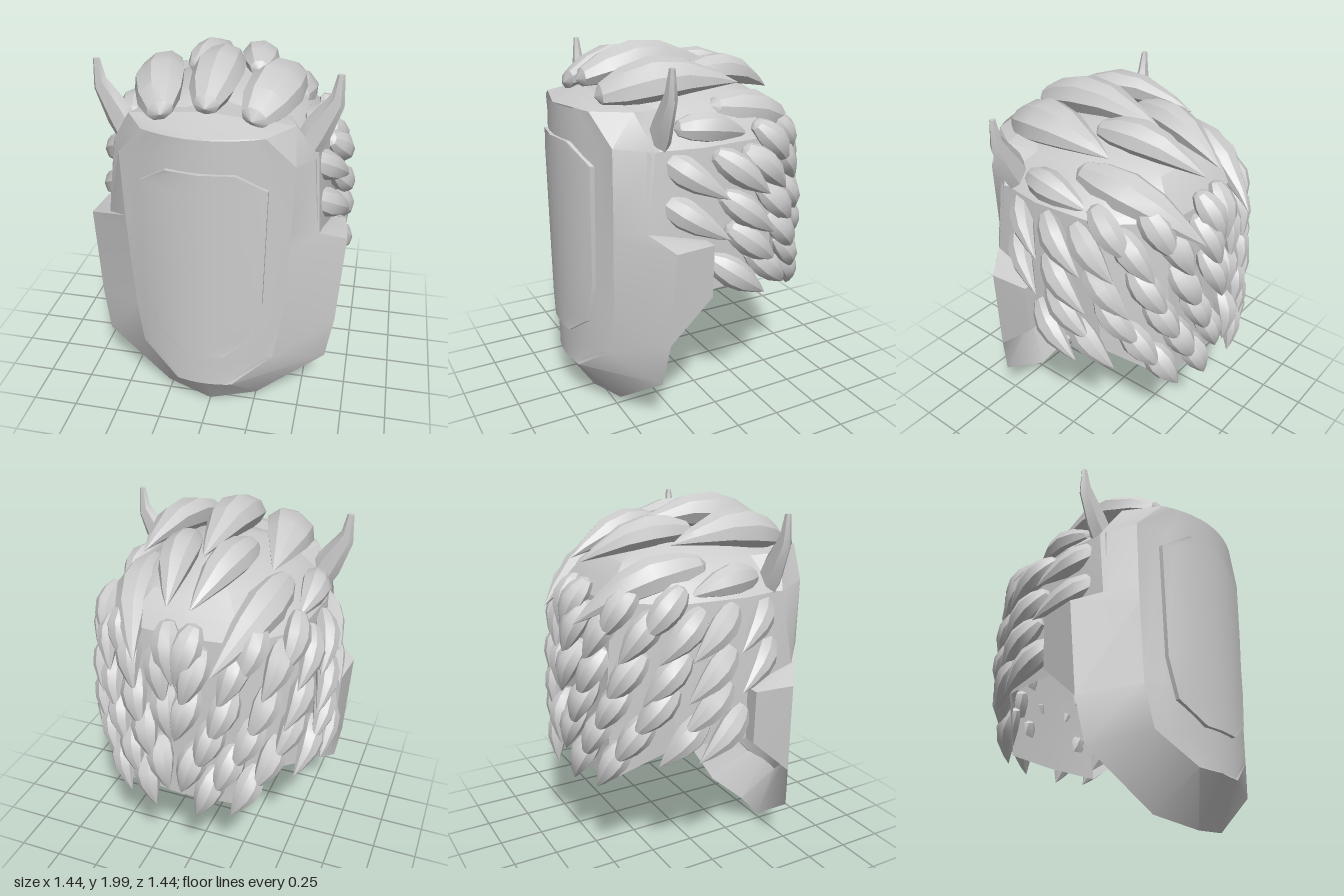
import * as THREE from 'three';
import { toCreasedNormals } from 'three/addons/utils/BufferGeometryUtils.js';

const V = (x, y, z) => new THREE.Vector3(x, y, z);
const grey = new THREE.MeshStandardMaterial({ color: 0xcccccc, side: THREE.DoubleSide });

// Skin a list of cross-sections that all have the same number of points
function loft(rows, closed = false, crease = 0.5) {
  const n = rows[0].length, index = [];
  for (let r = 0; r < rows.length - 1; r++) {
    for (let i = 0; i < (closed ? n : n - 1); i++) {
      const j = (i + 1) % n, a = r * n + i, b = r * n + j;
      index.push(a, b, b + n, a, b + n, a + n);
    }
  }
  const g = new THREE.BufferGeometry().setFromPoints(rows.flat());
  g.setIndex(index);
  return toCreasedNormals(g, crease);
}

const flip = p => V(-p.x, p.y, p.z);
// Half outline from centre line to centre line, completed on the other side
const mirrorLoop = half => [...half, ...half.slice(1, -1).reverse().map(flip)];
// Half outline that ends on the centre line, continued to the other side
const mirrorOpen = half => [...half, ...half.slice(0, -1).reverse().map(flip)];

function add(parent, name, geometry) {
  const mesh = new THREE.Mesh(geometry, grey);
  mesh.name = name;
  parent.add(mesh);
}

// Curved front: depth of the face at a distance from the centre line
const faceZ = x => Math.max(0.7 - 0.85 * x * x, 0.565);

// Curved panel from rows of [half width, height]
function panel(rows, lift) {
  return loft(rows.map(([w, y]) => Array.from({ length: 11 }, (_, i) => {
    const x = w * (i / 5 - 1);
    return V(x, y, faceZ(x) + lift);
  })));
}
const rim = (rows, lift) => mirrorLoop(
  [[0, rows[0][1]], ...rows, [0, rows.at(-1)[1]]].map(([x, y]) => V(x, y, faceZ(x) + lift)));

// Tapered, ridged tuft from root to tip, bowed outwards
const tuftProfile = [[0, 0], [0.5, 0.04], [0.85, 0.18], [1, 0.38], [0.82, 0.6], [0.36, 0.85], [0, 1]]
  .map(p => new THREE.Vector2(...p));
function tuft(root, tip, outward, width, thick, bow) {
  const g = new THREE.LatheGeometry(tuftProfile, 8);
  const dir = tip.clone().sub(root), len = dir.length();
  dir.normalize();
  const side = dir.clone().cross(outward).normalize();
  const up = side.clone().cross(dir);
  const pos = g.attributes.position;
  for (let i = 0; i < pos.count; i++) {
    const t = pos.getY(i);
    pos.setXYZ(i, pos.getX(i) * width / 2, t * len,
      pos.getZ(i) * thick / 2 + bow * Math.sin(Math.PI * t));
  }
  g.applyMatrix4(new THREE.Matrix4().makeBasis(side, dir, up).setPosition(root));
  return toCreasedNormals(g, 0.5);
}

export function createModel() {
  const model = new THREE.Group();

  // Face plate, with the mask sides running back from its edge
  const face = [[0.15, 0.26], [0.36, 0.42], [0.4, 0.65], [0.425, 1.1], [0.43, 1.2], [0.44, 1.56], [0.3, 1.72]];
  add(model, 'facePlate', panel(face, 0));
  const outer = [[0, 0.01, 0.54], [0.26, 0.05, 0.48], [0.63, 0.32, 0.4], [0.67, 0.56, 0.37], [0.7, 1.07, 0.35],
    [0.56, 1.14, 0.44], [0.53, 1.54, 0.38], [0.42, 1.72, 0.44], [0, 1.79, 0.53]].map(p => V(...p));
  add(model, 'maskSides', loft([rim(face, 0), mirrorLoop(outer)], true));

  // Brow joining the mask to the crown
  const browBack = [V(0.47, 1.54, 0.1), V(0.34, 1.7, 0.2), V(0, 1.81, 0.2)];
  add(model, 'brow', loft([mirrorOpen(outer.slice(6)), mirrorOpen(browBack)]));

  // Raised visor
  const visor = [[0.11, 0.47], [0.26, 0.58], [0.305, 0.8], [0.32, 1.45], [0.17, 1.55]];
  add(model, 'visor', panel(visor, 0.022));
  add(model, 'visorEdge', loft([rim(visor, 0.022), rim(visor, -0.025)], true));

  // Cheek guards behind the mask
  const cheek = [
    [[0.56, 1.14, 0.44], [0.59, 1.07, 0.13], [0.59, 1.07, 0.13]],
    [[0.7, 1.07, 0.35], [0.68, 1.07, 0.13], [0.59, 1.07, 0.13]],
    [[0.67, 0.56, 0.37], [0.67, 0.78, 0.13], [0.59, 0.78, 0.13]],
  ].map(row => row.map(p => V(...p)));
  add(model, 'leftCheek', loft(cheek));
  add(model, 'rightCheek', loft(cheek.map(row => row.map(flip))));

  // Cap wall around the sides and back, lower at the nape
  const wall = [[0.555, 0.45, 1], [0.6, 0.13, 0.78], [0.56, -0.28, 0.8], [0.32, -0.54, 0.57], [0, -0.57, 0.57]];
  const wallRow = (y, s = 1) => mirrorOpen(wall.map(([x, z, low]) => V(x * s, y ?? low, z * s)));
  add(model, 'capWall', loft([wallRow(), wallRow(1.1), wallRow(1.54, 0.93)]));

  // Crown of the cap, steeper at the sides than at the front and back
  const crown = [[0, 0.59], [0.4, 0.5], [0.555, 0.42], [0.6, 0.13], [0.56, -0.28], [0.32, -0.54], [0, -0.57]];
  const rings = [[1.54, 0.93], [1.63, 0.8], [1.71, 0.64], [1.78, 0.42], [1.82, 0.18], [1.83, 0]];
  add(model, 'crown', loft(rings.map(([y, s]) => mirrorLoop(
    crown.map(([x, z]) => V(x * s, y, z * s ** (z > 0 ? 0.4 : 0.75))))), true));

  // Horns: [height, centre x, half width, half depth]
  const hornRows = [[1.54, 0.45, 0.055, 0.06], [1.66, 0.51, 0.06, 0.045], [1.82, 0.598, 0.034, 0.03],
    [1.95, 0.607, 0.018, 0.014], [1.95, 0.607, 0, 0]];
  const horn = hornRows.map(([y, x, w, d]) => Array.from({ length: 6 }, (_, i) => {
    const a = i * Math.PI / 3, lean = y < 1.9 ? -0.9 : 0;
    return V(x + w * Math.cos(a), y + lean * w * Math.cos(a), 0.33 + d * Math.sin(a));
  }));
  add(model, 'leftHorn', loft(horn, true));
  add(model, 'rightHorn', loft(horn.map(row => row.map(flip)), true));

  // Large tufts over the crown: root, tip, width, thickness, bow
  const tufts = new THREE.Group();
  tufts.name = 'tufts';
  model.add(tufts);
  add(tufts, 'centreTuft', tuft(V(0, 1.82, 0.57), V(0, 1.84, -0.24), V(0, 1, 0), 0.26, 0.2, 0.08));
  const big = [
    [V(0.22, 1.77, 0.56), V(0.35, 1.8, -0.19), 0.28, 0.19, 0.08],
    [V(0.17, 1.84, 0.04), V(0.06, 1.7, -0.56), 0.21, 0.17, 0.06],
    [V(0.38, 1.7, 0), V(0.2, 1.42, -0.67), 0.22, 0.18, 0.09],
    [V(0.47, 1.63, 0.25), V(0.49, 1.56, -0.17), 0.17, 0.15, 0.04],
  ];
  for (const [root, tip, w, t, bow] of big) {
    const out = root.clone().lerp(tip, 0.5).sub(V(0, 1.1, 0));
    add(tufts, 'leftCrownTuft', tuft(root, tip, out, w, t, bow));
    add(tufts, 'rightCrownTuft', tuft(flip(root), flip(tip), flip(out), w, t, bow));
  }

  // Smaller tufts in rows round the cap: height of the row, then angles from the front
  const around = (deg, y, gap) => {
    const a = THREE.MathUtils.degToRad(deg), s = 1 - 0.25 * Math.max(0, y - 1.2);
    return V((0.58 + gap) * s * Math.sin(a), y, (0.56 + gap) * s * Math.cos(a));
  };
  const rows = [
    [1.62, [112, 138, 172]],
    [1.51, [52, 82, 101, 124, 148, 168]],
    [1.3, [52, 85, 110, 132, 153, 172]],
    [1.13, [88, 116, 140, 160]],
    [0.97, [78, 101, 128, 150, 169]],
    [0.82, [140, 160]],
  ];
  for (const [y, angles] of rows) {
    for (const deg of angles) {
      const turn = 34 * (1 - (deg - 55) / 150);
      const drop = 0.22 + 0.08 * (deg - 55) / 115;
      const root = around(deg, y, 0.025), tip = around(deg + turn, y - drop, 0.11);
      const out = around(deg + turn / 2, 0, 0);
      add(tufts, 'leftTuft', tuft(root, tip, out, 0.16, 0.13, 0.035));
      add(tufts, 'rightTuft', tuft(flip(root), flip(tip), flip(out), 0.16, 0.13, 0.035));
    }
  }
  return model;
}
